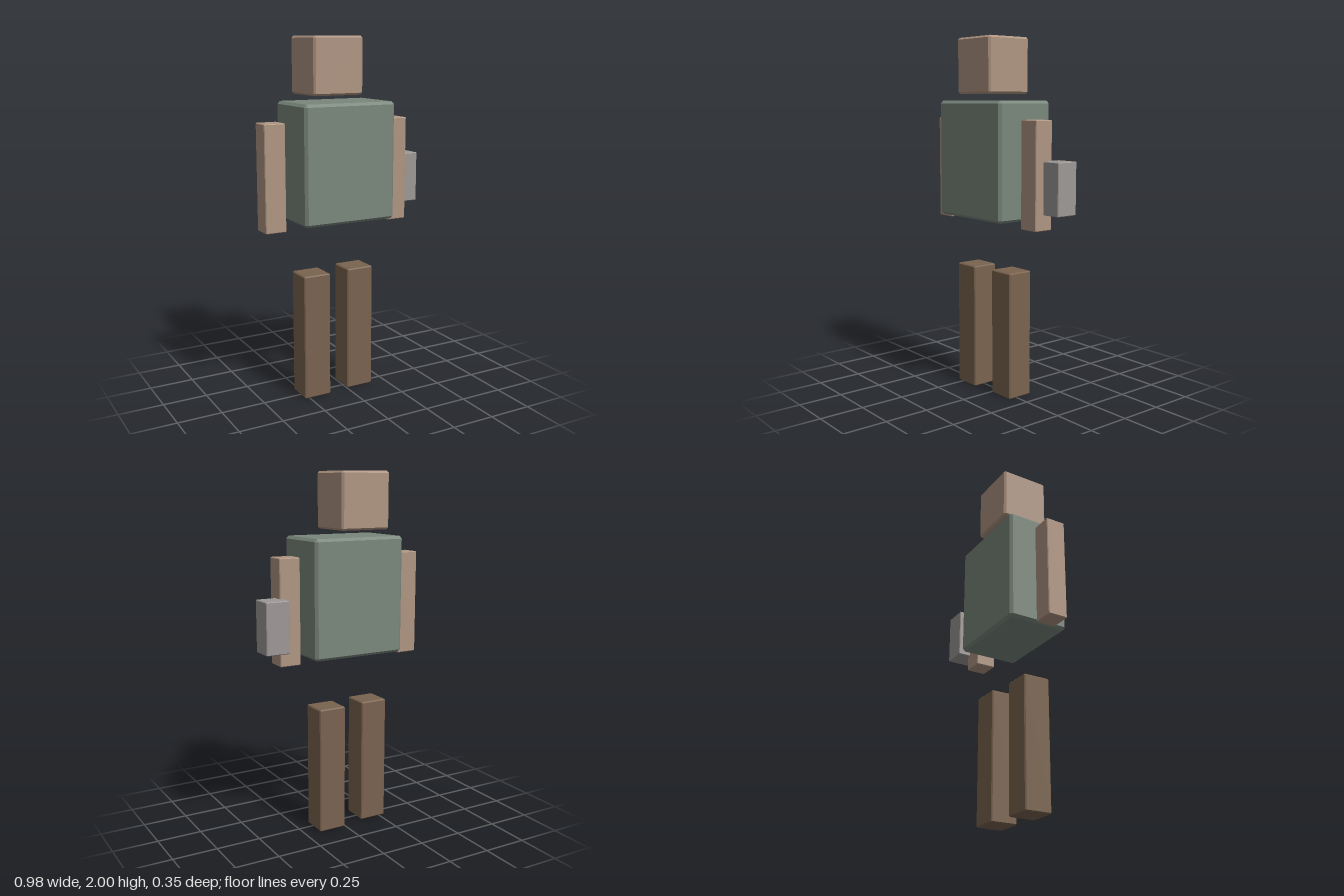
import * as THREE from 'three';
import { ConvexGeometry } from 'three/addons/geometries/ConvexGeometry.js';

const material = (name, color) => {
  const m = new THREE.MeshStandardMaterial({ color });
  m.name = name;
  return m;
};

// Box with chamfered edges: each corner becomes three points
function chamferBox(w, h, d, bevel) {
  const points = [];
  for (const sx of [-1, 1]) for (const sy of [-1, 1]) for (const sz of [-1, 1]) {
    for (let axis = 0; axis < 3; axis++) {
      const half = [w / 2 - bevel, h / 2 - bevel, d / 2 - bevel];
      half[axis] += bevel;
      points.push(new THREE.Vector3(sx * half[0], sy * half[1], sz * half[2]));
    }
  }
  return new ConvexGeometry(points);
}

export function createModel() {
  const group = new THREE.Group();
  const skin = material('skin', 0xaf9582);
  const shirt = material('green shirt', 0x7a877c);
  const trousers = material('brown trousers', 0x7a634f);
  const metal = material('grey metal', 0x9d9896);

  // Adds a block spanning the given x, y and z ranges
  const block = (name, mat, [x0, x1], [y0, y1], [z0, z1], bevel) => {
    const mesh = new THREE.Mesh(chamferBox(x1 - x0, y1 - y0, z1 - z0, bevel), mat);
    mesh.position.set((x0 + x1) / 2, (y0 + y1) / 2, (z0 + z1) / 2);
    mesh.name = name;
    group.add(mesh);
  };

  block('head', skin, [-0.23, 0.063], [1.692, 2], [-0.165, 0.112], 0.011);
  block('torso', shirt, [-0.315, 0.228], [1.01, 1.655], [-0.177, 0.175], 0.015);

  // Arms
  block('rightArm', skin, [-0.492, -0.373], [0.975, 1.555], [-0.056, 0.056], 0.004);
  block('leftArm', skin, [0.257, 0.377], [0.975, 1.555], [-0.056, 0.056], 0.004);

  // Block carried beside the left arm
  block('heldBlock', metal, [0.354, 0.49], [1.06, 1.342], [-0.126, 0.003], 0.004);

  // Legs, the right one slightly forward
  block('rightLeg', trousers, [-0.281, -0.121], [0.003, 0.716], [-0.075, 0.077], 0.006);
  block('leftLeg', trousers, [0.003, 0.164], [0, 0.716], [-0.099, 0.053], 0.006);

  return group;
}
